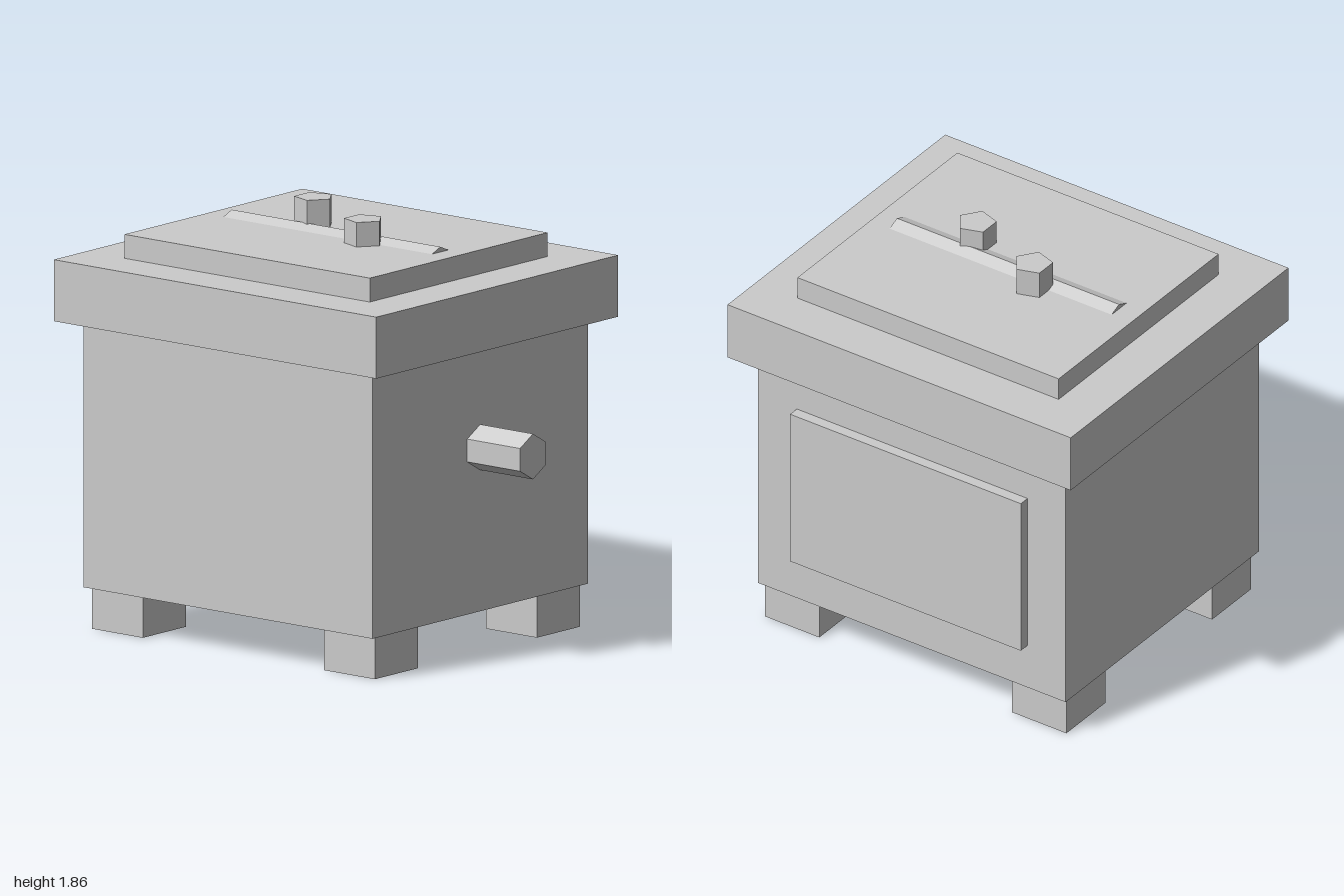
import * as THREE from 'three';

export function createModel() {
  const group = new THREE.Group();
  const material = new THREE.MeshStandardMaterial({ color: 0xcccccc, flatShading: true });

  const add = (name, geometry, x, y, z) => {
    const mesh = new THREE.Mesh(geometry, material);
    mesh.name = name;
    mesh.position.set(x, y, z);
    group.add(mesh);
    return mesh;
  };
  // Box given by its x, y and z ranges
  const box = (name, [x0, x1], [y0, y1], [z0, z1]) =>
    add(name, new THREE.BoxGeometry(x1 - x0, y1 - y0, z1 - z0), (x0 + x1) / 2, (y0 + y1) / 2, (z0 + z1) / 2);
  // Prism with its first corner towards local +x
  const prism = (radius, height, sides) =>
    new THREE.CylinderGeometry(radius, radius, height, sides, 1, false, Math.PI / 2);

  // Body, rim slab, lid and back panel
  box('body', [-0.91, 0.705], [0.185, 1.355], [-0.72, 0.72]);
  box('rim', [-1, 0.8], [1.355, 1.625], [-0.81, 0.81]);
  box('lid', [-0.785, 0.585], [1.625, 1.73], [-0.595, 0.595]);
  box('backPanel', [-0.71, 0.5], [0.4, 1.155], [-0.77, -0.7]);

  // Four feet
  for (const side of [-1, 1])
    for (const end of [-1, 1])
      add('foot', new THREE.BoxGeometry(0.285, 0.185, 0.29), -0.1 + side * 0.648, 0.0925, end * 0.542);

  // Hexagonal side handle
  add('sideHandle', prism(0.1, 0.4, 6), 0.8, 0.905, 0).rotation.z = -Math.PI / 2;

  // Rod half sunk into the lid
  add('lidRod', prism(0.08, 1.165, 8), -0.1, 1.673, 0).rotation.z = -Math.PI / 2;

  // Five-sided knobs
  add('backKnob', prism(0.087, 0.125, 5), -0.282, 1.7925, -0.073);
  add('frontKnob', prism(0.087, 0.11, 5), 0.115, 1.7825, 0.07);

  return group;
}
